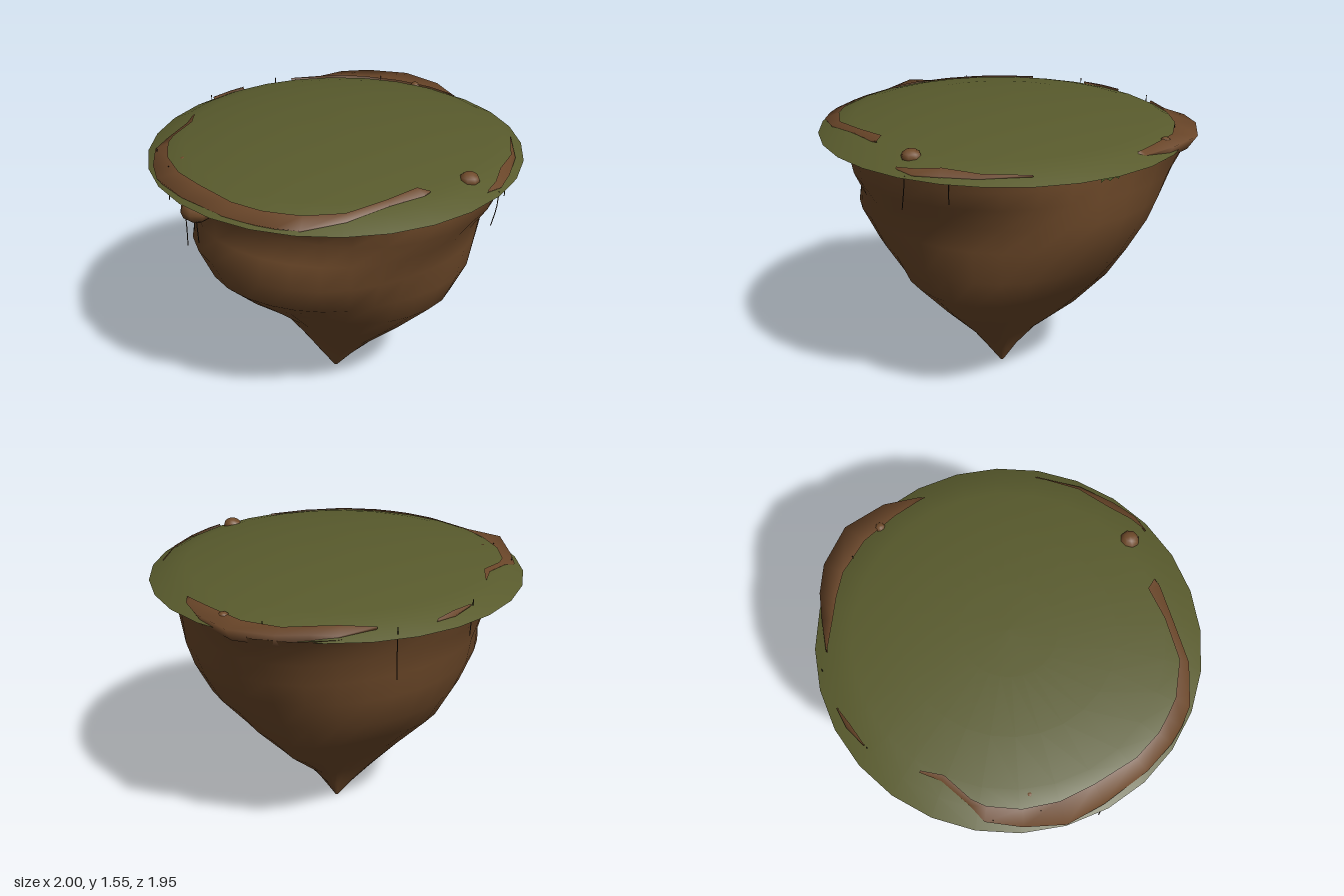
import * as THREE from 'three';

const mat = (name, color, side = THREE.FrontSide) => {
  const m = new THREE.MeshStandardMaterial({ color, side });
  m.name = name;
  return m;
};
const rad = THREE.MathUtils.degToRad;

// Grass dome profile: radius, height
const DOME = [[0.995, 1.42], [0.9, 1.465], [0.8, 1.49], [0.55, 1.528], [0.25, 1.548], [0, 1.55]];
function domeY(r) {
  for (let i = 1; i < DOME.length; i++) {
    const [r0, y0] = DOME[i - 1], [r1, y1] = DOME[i];
    if (r >= r1) return r >= r0 ? y0 : y1 + (y0 - y1) * (r - r1) / (r0 - r1);
  }
  return 1.55;
}

// Rock radii at each height, for eight directions starting at +x and turning towards +z
const HEIGHTS = [0, 0.12, 0.25, 0.45, 0.65, 0.82, 1.0, 1.13, 1.26, 1.36, 1.43];
const RADII = [
  [0.01, 0.08, 0.18, 0.37, 0.57, 0.72, 0.81, 0.85, 0.86, 0.87, 0.87],
  [0.01, 0.11, 0.24, 0.46, 0.66, 0.74, 0.77, 0.79, 0.87, 0.91, 0.93],
  [0.01, 0.10, 0.20, 0.40, 0.59, 0.67, 0.74, 0.77, 0.85, 0.86, 0.87],
  [0.01, 0.08, 0.17, 0.33, 0.50, 0.70, 0.80, 0.77, 0.76, 0.83, 0.93],
  [0.01, 0.09, 0.17, 0.31, 0.57, 0.73, 0.81, 0.78, 0.80, 0.83, 0.96],
  [0.01, 0.10, 0.21, 0.39, 0.58, 0.67, 0.74, 0.76, 0.80, 0.85, 0.87],
  [0.01, 0.07, 0.16, 0.33, 0.53, 0.67, 0.74, 0.76, 0.80, 0.84, 0.88],
  [0.01, 0.09, 0.20, 0.44, 0.62, 0.72, 0.82, 0.87, 0.92, 0.97, 1.02],
];

// Smooth interpolation through four neighbouring values
function cubic(a, b, c, d, t) {
  return b + 0.5 * t * (c - a + t * (2 * a - 5 * b + 4 * c - d + t * (3 * (b - c) + d - a)));
}
function ringRadius(row, angle) {
  const u = ((angle / (Math.PI / 4)) % 8 + 8) % 8, k = Math.floor(u);
  const at = (n) => RADII[(n + 8) % 8][row];
  return cubic(at(k - 1), at(k), at(k + 1), at(k + 2), u - k);
}
function rockRadius(y, angle) {
  const last = HEIGHTS.length - 1;
  let i = 0;
  while (i < last - 1 && y > HEIGHTS[i + 1]) i++;
  const t = (y - HEIGHTS[i]) / (HEIGHTS[i + 1] - HEIGHTS[i]);
  return THREE.MathUtils.lerp(ringRadius(i, angle), ringRadius(i + 1, angle), t);
}

function grid(rows, cols, closed, point) {
  const pos = [], idx = [];
  for (let i = 0; i < rows; i++) for (let j = 0; j < cols; j++) pos.push(...point(i, j));
  for (let i = 0; i < rows - 1; i++) {
    for (let j = 0; j < (closed ? cols : cols - 1); j++) {
      const a = i * cols + j, b = i * cols + (j + 1) % cols;
      idx.push(a, a + cols, b, b, a + cols, b + cols);
    }
  }
  const g = new THREE.BufferGeometry();
  g.setAttribute('position', new THREE.Float32BufferAttribute(pos, 3));
  g.setIndex(idx);
  g.computeVertexNormals();
  return g;
}
const polar = (r, y, a) => [r * Math.cos(a), y, r * Math.sin(a)];

// Bare earth strip breaking through the turf: rows of [degrees, inner radius, outer radius]
function earthStrip(rows) {
  return grid(3, rows.length, false, (i, j) => {
    const [deg, inner, outer] = rows[j], a = rad(deg);
    const rim = Math.max(domeY(outer) + 0.004, outer > 0.985 ? 1.465 : 1.44);
    if (i === 2) return polar(inner, domeY(inner) + 0.007, a);
    if (i === 1) return polar(outer, rim, a);
    return outer > 0.965 ? polar(outer - 0.05, 1.39, a) : polar(outer - 0.01, domeY(outer) - 0.01, a);
  });
}

export function createModel() {
  const group = new THREE.Group();
  const earth = mat('earth', 0x6f4a2a);
  const earthThin = mat('bare earth', 0x6a4629, THREE.DoubleSide);
  const grass = mat('grass', 0x595b2d);
  const moss = mat('moss', 0x50602c, THREE.DoubleSide);
  const root = mat('root', 0x32261a);
  const add = (name, geometry, material) => {
    const m = new THREE.Mesh(geometry, material);
    m.name = name;
    group.add(m);
    return m;
  };

  // Hanging rock, tapering to a point
  const COLS = 32;
  add('rockBody', grid(HEIGHTS.length, COLS, true, (i, j) => {
    const a = j / COLS * Math.PI * 2;
    return polar(ringRadius(i, a), HEIGHTS[i], a);
  }), earth);

  // Turf dome and its flat underside
  const profile = DOME.map(([r, y]) => new THREE.Vector2(r, y));
  add('grassTop', new THREE.LatheGeometry(profile, 28), grass).scale.z = 0.98;
  const under = new THREE.LatheGeometry([new THREE.Vector2(0.6, 1.42), new THREE.Vector2(0.995, 1.42)], 28);
  add('grassUnderside', under, grass).scale.z = 0.98;

  // Bare earth around the rim
  const strips = {
    frontRightEarth: [[84, 0.8, 0.805], [87, 0.75, 0.815], [100, 0.79, 0.83], [115, 0.86, 0.91], [128, 0.885, 0.965],
      [135, 0.885, 0.97], [141, 0.89, 0.97], [152, 0.885, 0.965], [168, 0.87, 0.97], [180, 0.885, 1.0],
      [192, 0.89, 0.97], [203, 0.88, 0.95], [208, 0.86, 0.89], [219, 0.79, 0.82], [227, 0.82, 0.83]],
    backLeftEarth: [[281, 0.91, 0.915], [292, 0.89, 0.95], [300, 0.9, 0.99], [309, 0.92, 1.03], [322, 0.92, 1.05],
      [335, 0.9, 0.995], [345, 0.9, 0.93], [347, 0.9, 0.905]],
    frontLeftEarth: [[25, 0.93, 0.935], [40, 0.92, 0.945], [52, 0.9, 0.95], [60, 0.925, 0.96], [66, 0.935, 0.94]],
    backEarth: [[247, 0.9, 0.905], [255, 0.9, 0.925], [262, 0.92, 0.925]],
  };
  for (const [name, rows] of Object.entries(strips)) add(name, earthStrip(rows), earthThin);

  // Loose stones: x, y, z, radius
  [[-0.875, 1.36, 0.2, 0.085], [0.34, 1.476, 0.75, 0.052], [0.78, 1.455, -0.47, 0.028], [-0.81, 1.472, -0.13, 0.018]]
    .forEach(([x, y, z, r]) => {
      const stone = add('stone', new THREE.SphereGeometry(r, 8, 6), earth);
      stone.position.set(x, y, z);
      stone.scale.y = 0.78;
    });

  // Moss patches lying on the rock just below the turf: degrees from, to, bottom height
  [[96, 106, 1.395], [106, 119, 1.375], [335, 348, 1.39], [354, 361, 1.355]].forEach(([from, to, low]) => {
    add('mossPatch', grid(3, 5, false, (i, j) => {
      const a = rad(from + (to - from) * j / 4);
      const bottom = low + 0.015 * (j % 2);
      const y = bottom + (1.42 - bottom) * i / 2;
      return polar(rockRadius(y, a) + 0.006, y, a);
    }), moss);
  });

  // Thin dangling roots: x, z, top, bottom, sideways drift
  [[0.45, 0.85, 1.43, 1.25, -0.035], [0.6, 0.7, 1.42, 1.3, 0], [-0.935, 0.2, 1.34, 1.17, 0],
    [-0.9, 0.25, 1.32, 1.2, 0.005], [-0.88, 0.16, 1.32, 1.22, 0], [-0.37, -0.82, 1.49, 1.3, 0.01],
    [0.09, -0.94, 1.47, 1.2, 0], [-0.88, -0.33, 1.47, 1.3, 0.01], [-0.9, -0.1, 1.47, 1.28, -0.01],
    [0.65, -0.65, 1.48, 1.4, 0]].forEach(([x, z, top, bottom, drift]) => {
    const path = new THREE.CatmullRomCurve3([
      new THREE.Vector3(x, top, z),
      new THREE.Vector3(x + drift * 0.3, (top + bottom) / 2, z + 0.003),
      new THREE.Vector3(x + drift, bottom, z),
    ]);
    add('root', new THREE.TubeGeometry(path, 5, 0.0025, 5), root);
  });

  return group;
}
